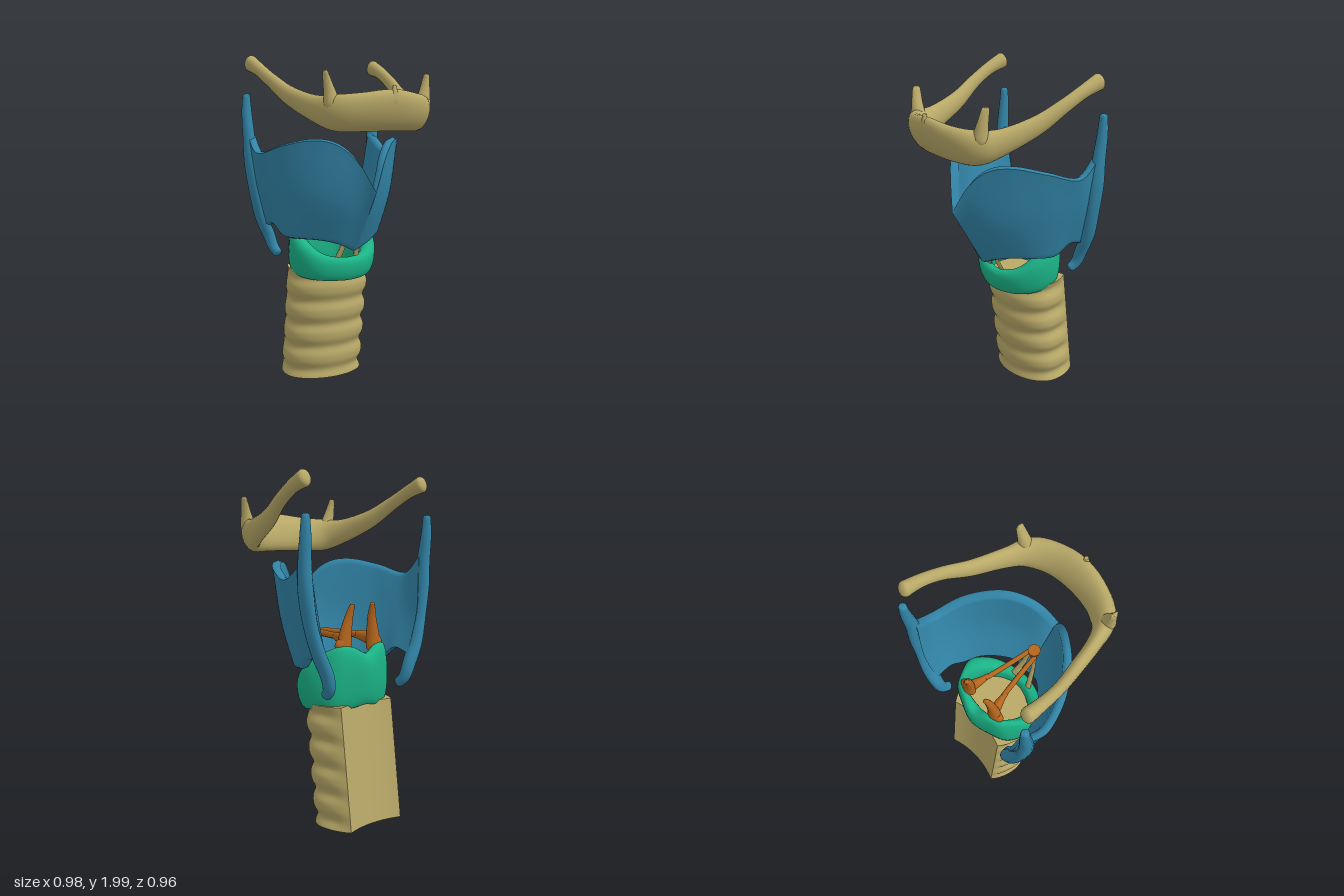
import * as THREE from 'three';
import { toCreasedNormals } from 'three/addons/utils/BufferGeometryUtils.js';

const material = (color) => new THREE.MeshStandardMaterial({ color });
const V = (x, y, z) => new THREE.Vector3(x, y, z);
const { lerp, smoothstep } = THREE.MathUtils;
const mirrorRow = ([x, ...rest]) => [-x, ...rest];

// Catmull-Rom interpolation through rows of numbers, t in 0..1
function spline(rows, t, closed = false) {
  const n = rows.length, spans = closed ? n : n - 1;
  const f = Math.min(t, 0.999999) * spans, i = Math.floor(f), k = f - i;
  const row = (j) => rows[closed ? (j + n) % n : Math.max(0, Math.min(n - 1, j))];
  const [a, b, c, d] = [row(i - 1), row(i), row(i + 1), row(i + 2)];
  return b.map((p, m) => {
    const linear = c[m] - a[m];
    const square = 2 * a[m] - 5 * p + 4 * c[m] - d[m];
    const cubic = 3 * (p - c[m]) + d[m] - a[m];
    return p + 0.5 * k * (linear + k * (square + k * cubic));
  });
}

// Skin over closed rings of points, capped at the rings listed in caps
function loft(rings, { closed = false, caps = [0, rings.length - 1], crease = 1.2 } = {}) {
  const m = rings[0].length, n = rings.length, pts = rings.flat(), index = [];
  for (let i = 0; i < (closed ? n : n - 1); i++) {
    for (let j = 0; j < m; j++) {
      const a = i * m + j, b = i * m + (j + 1) % m;
      const c = ((i + 1) % n) * m + j, d = ((i + 1) % n) * m + (j + 1) % m;
      index.push(a, b, c, b, d, c);
    }
  }
  caps.forEach((r) => {
    const centre = rings[r].reduce((s, p) => s.add(p), V(0, 0, 0)).divideScalar(m);
    const k = pts.push(centre) - 1;
    for (let j = 0; j < m; j++) {
      const a = r * m + j, b = r * m + (j + 1) % m;
      if (r) index.push(k, a, b); else index.push(k, b, a);
    }
  });
  // Turn the faces outward
  let volume = 0;
  const cross = V(0, 0, 0);
  for (let i = 0; i < index.length; i += 3) {
    volume += pts[index[i]].dot(cross.crossVectors(pts[index[i + 1]], pts[index[i + 2]]));
  }
  if (volume < 0) index.reverse();
  const g = new THREE.BufferGeometry().setFromPoints(pts);
  g.setIndex(index);
  return toCreasedNormals(g, crease);
}

// Rounded rod through rows of [x, y, z, half width, half height]
function sweep(rows, { up = V(0, 0, 1), steps = 40, sides = 16 } = {}) {
  const at = (t) => V(...spline(rows, t));
  let length = 0;
  for (let i = 1; i < rows.length; i++) length += V(...rows[i]).distanceTo(V(...rows[i - 1]));
  const rings = [];
  for (let i = 0; i <= steps; i++) {
    const t = (1 - Math.cos(Math.PI * i / steps)) / 2;
    const [x, y, z, a, b] = spline(rows, t);
    const tangent = at(Math.min(1, t + 0.01)).sub(at(Math.max(0, t - 0.01))).normalize();
    const side = tangent.clone().cross(up).normalize();
    const high = side.clone().cross(tangent);
    const d = Math.min(1, Math.min(t, 1 - t) * length / Math.max(a, b));
    const round = Math.max(0.02, Math.sqrt(1 - (1 - d) ** 2));
    const ring = [];
    for (let j = 0; j < sides; j++) {
      const q = 2 * Math.PI * j / sides;
      ring.push(V(x, y, z).addScaledVector(side, a * round * Math.cos(q))
        .addScaledVector(high, b * round * Math.sin(q)));
    }
    rings.push(ring);
  }
  return loft(rings);
}

// Ringed windpipe with a hollow, flat back and an open lower end
function tracheaGeometry() {
  const rings = [], arc = THREE.MathUtils.degToRad(132);
  for (let i = 0; i <= 60; i++) {
    const y = 0.7 * i / 60, c = -0.3 + 0.13 * y, ring = [];
    const swell = 1 - 0.085 * Math.pow(0.5 + 0.5 * Math.cos(2 * Math.PI * (y - 0.05) / 0.15), 1.6);
    for (let j = 0; j <= 40; j++) {
      const q = lerp(-arc, arc, j / 40), k = Math.cos(q);
      const s = lerp(1, swell, Math.min(1, (arc - Math.abs(q)) * 2.5));
      ring.push(V(0.265 * s * Math.sin(q), y, c + (k > 0 ? 0.19 : 0.275) * s * k));
    }
    for (let j = 1; j < 10; j++) {
      const h = lerp(1, -1, j / 10);
      ring.push(V(0.265 * Math.sin(arc) * h, y, c - 0.184 + 0.035 * (1 - h * h)));
    }
    rings.push(ring);
  }
  return loft(rings, { caps: [60], crease: 0.9 });
}

// Signet ring: low arch in front, tall plate behind, narrowing upward
function cricoidGeometry() {
  // outer x, z, inner x, z, bottom, top
  const half = [
    [0, 0.045, 0, -0.03, 0.64, 0.785], [0.185, -0.005, 0.12, -0.07, 0.645, 0.81],
    [0.28, -0.11, 0.18, -0.15, 0.655, 0.895], [0.295, -0.24, 0.185, -0.24, 0.67, 0.98],
    [0.245, -0.345, 0.14, -0.315, 0.675, 1.03], [0.13, -0.4, 0.07, -0.337, 0.675, 1.03],
    [0, -0.435, 0, -0.337, 0.69, 0.99],
  ];
  const flip = ([a, b, c, ...rest]) => [-a, b, -c, ...rest];
  const rows = [...half, ...half.slice(1, -1).reverse().map(flip)];
  const soft = (v) => Math.sign(v) * Math.abs(v) ** 0.75;
  const rings = [];
  for (let i = 0; i < 72; i++) {
    const [ox, oz, ix, iz, low, top] = spline(rows, i / 72, true), ring = [];
    for (let j = 0; j < 24; j++) {
      const q = 2 * Math.PI * j / 24;
      const a = (soft(Math.cos(q)) + 1) / 2, b = (soft(Math.sin(q)) + 1) / 2;
      const foot = 1 - 0.1 * a * (1 - b) ** 2;
      const crown = 1 - 0.2 * a * b * smoothstep(-oz, 0.15, 0.33);
      ring.push(V(lerp(ix, ox, a) * foot * crown, lerp(low, top, b),
        -0.2 + (lerp(iz, oz, a) + 0.2) * foot));
    }
    rings.push(ring);
  }
  return loft(rings, { closed: true, caps: [] });
}

// Shield of two plates meeting in a keel, with a notch on top
function thyroidGeometry() {
  const low = [[0, 0.84, 0.09], [0.1, 0.885, 0.08], [0.2, 0.91, 0.01], [0.29, 0.915, -0.09],
    [0.335, 0.92, -0.2], [0.355, 0.985, -0.3], [0.36, 0.96, -0.41]];
  const mid = [[0, 1.02, 0.195], [0.12, 1.12, 0.175], [0.23, 1.17, 0.1], [0.32, 1.19, 0],
    [0.39, 1.2, -0.12], [0.425, 1.2, -0.28], [0.425, 1.2, -0.42]];
  const top = [[0, 1.2, 0.3], [0.09, 1.37, 0.25], [0.19, 1.47, 0.18], [0.3, 1.495, 0.085],
    [0.415, 1.46, -0.07], [0.475, 1.415, -0.25], [0.465, 1.52, -0.39]];
  const rings = [], n = 14, thick = 0.048;
  for (let i = -40; i <= 40; i++) {
    const u = Math.abs(i) / 40, s = i < 0 ? -1 : 1;
    const column = [low, mid, top].map((rows) => spline(rows, u));
    const p = spline(mid, Math.max(0, u - 0.02)), q = spline(mid, Math.min(1, u + 0.02));
    const inward = V(q[2] - p[2], 0, p[0] - q[0]).normalize().multiplyScalar(thick);
    const outer = [], inner = [];
    for (let j = 0; j <= n; j++) {
      const o = V(...spline(column, j / n)), k = o.clone().add(inward);
      if (k.x < 0) k.x = 0;
      outer.push(o);
      inner.unshift(k);
    }
    const lip = (a, b, dy) => a.clone().add(b).multiplyScalar(0.5).add(V(0, dy, 0));
    const ring = [...outer, lip(outer[n], inner[0], 0.01), ...inner, lip(outer[0], inner[n], -0.01)];
    rings.push(ring.map((v) => V(v.x * s, v.y, v.z)));
  }
  return loft(rings);
}

export function createModel() {
  const model = new THREE.Group();
  const bone = material(0xb9a968), blue = material(0x3285a8);
  const green = material(0x1bb487), orange = material(0xb5651d);
  const openBone = bone.clone();
  openBone.side = THREE.DoubleSide;
  const add = (name, geometry, mat) => {
    const mesh = new THREE.Mesh(geometry, mat);
    mesh.name = name;
    model.add(mesh);
  };
  const addPair = (name, rows, mat, options) => {
    add(name + 'Left', sweep(rows, options), mat);
    add(name + 'Right', sweep(rows.map(mirrorRow), options), mat);
  };

  add('trachea', tracheaGeometry(), openBone);
  add('cricoidCartilage', cricoidGeometry(), green);
  add('thyroidCartilage', thyroidGeometry(), blue);

  // Rear border of each plate, from upper horn tip to lower horn tip
  addPair('thyroidHorn', [
    [0.46, 1.765, -0.41, 0.022, 0.022], [0.46, 1.65, -0.408, 0.031, 0.031],
    [0.455, 1.5, -0.395, 0.036, 0.04], [0.446, 1.35, -0.393, 0.038, 0.05],
    [0.42, 1.18, -0.398, 0.034, 0.048], [0.375, 1.02, -0.413, 0.036, 0.047],
    [0.32, 0.9, -0.418, 0.038, 0.04], [0.295, 0.82, -0.405, 0.033, 0.036],
    [0.28, 0.775, -0.36, 0.026, 0.03],
  ], blue, { steps: 60 });

  // Hyoid bone: deep curved body running into long rising horns
  const hyoid = [
    [0, 1.665, 0.412, 0.052, 0.122], [0.16, 1.655, 0.39, 0.054, 0.112],
    [0.285, 1.65, 0.32, 0.058, 0.102], [0.34, 1.675, 0.19, 0.042, 0.075],
    [0.388, 1.745, 0, 0.036, 0.056], [0.425, 1.835, -0.15, 0.032, 0.042],
    [0.44, 1.905, -0.28, 0.034, 0.04], [0.442, 1.95, -0.4, 0.042, 0.052],
  ];
  add('hyoidBone', sweep([...hyoid.slice(1).reverse().map(mirrorRow), ...hyoid],
    { up: V(0, 1, 0.4), steps: 90, sides: 20 }), bone);
  addPair('hyoidLesserHorn', [
    [0.3, 1.66, 0.32, 0.06, 0.05], [0.322, 1.76, 0.315, 0.034, 0.036],
    [0.335, 1.82, 0.31, 0.02, 0.03], [0.345, 1.875, 0.305, 0.01, 0.024],
  ], bone);
  add('hyoidRidge', sweep([[0, 1.64, 0.43, 0.03, 0.02], [0, 1.72, 0.46, 0.025, 0.02],
    [0, 1.8, 0.46, 0.01, 0.012]]), bone);

  // Arytenoid cartilages: upright peak, outer process, front process
  addPair('arytenoidPeak', [
    [0.115, 0.98, -0.325, 0.05, 0.04], [0.108, 1.08, -0.325, 0.042, 0.032],
    [0.09, 1.19, -0.335, 0.027, 0.022], [0.077, 1.27, -0.355, 0.012, 0.014],
  ], orange);
  addPair('arytenoidOuterProcess', [
    [0.09, 1.07, -0.325, 0.026, 0.03], [0.13, 1.05, -0.325, 0.028, 0.032],
    [0.168, 1.02, -0.32, 0.022, 0.025],
  ], orange, { up: V(0, 1, 0) });
  addPair('arytenoidFrontProcess', [
    [0.105, 1.06, -0.32, 0.036, 0.045], [0.085, 1.07, -0.25, 0.022, 0.03],
    [0.075, 1.075, -0.19, 0.012, 0.018],
  ], orange, { up: V(0, 1, 0) });

  // Vocal ligaments, their front anchor and the bands below
  addPair('vocalLigament', [
    [0.078, 1.075, -0.23, 0.016, 0.02], [0.05, 1.075, -0.08, 0.016, 0.02],
    [0.024, 1.075, 0.09, 0.015, 0.02],
  ], orange, { up: V(0, 1, 0), sides: 8 });
  const anchor = new THREE.CylinderGeometry(0.04, 0.032, 0.06, 8);
  add('ligamentAnchor', anchor.translate(0, 1.075, 0.1), orange);
  addPair('lowerBand', [
    [0.025, 1.06, 0.085, 0.012, 0.008], [0.04, 0.92, 0.05, 0.016, 0.008],
    [0.068, 0.76, -0.02, 0.022, 0.008],
  ], bone);
  return model;
}
